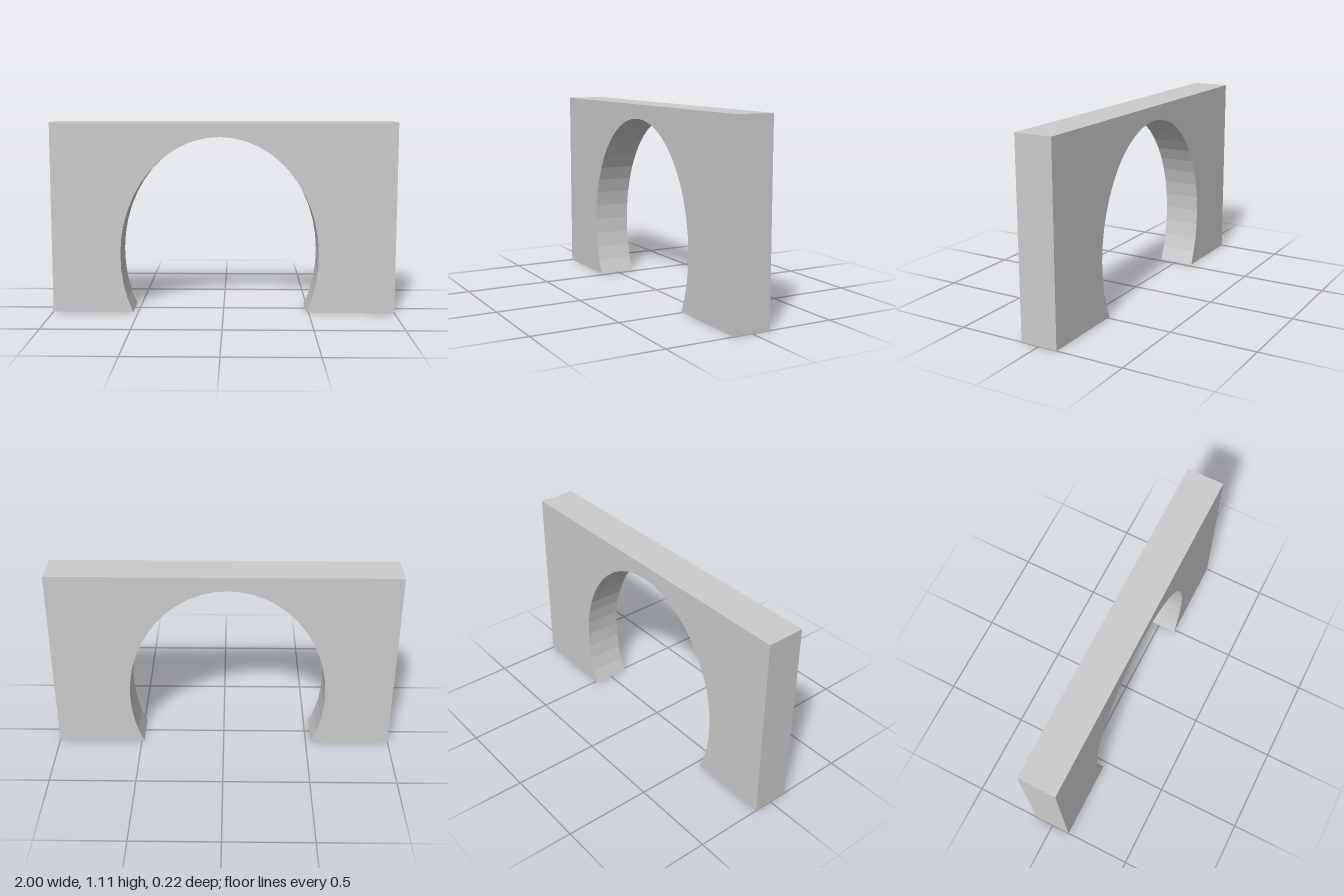
import * as THREE from 'three';

export function createModel() {
  const group = new THREE.Group();
  const height = 1.11, depth = 0.22;

  // Elliptical opening, cut off by the ground below its widest point
  const cx = -0.023, cy = 0.332, rx = 0.578, ry = 0.695, segments = 32;
  const dip = Math.asin(cy / ry);

  // Wall outline, counter-clockwise, running over the arch between the two feet
  const outline = [new THREE.Vector2(-1, 0)];
  for (let i = 0; i <= segments; i++) {
    const a = Math.PI + dip - (i / segments) * (Math.PI + 2 * dip);
    outline.push(new THREE.Vector2(cx + rx * Math.cos(a), Math.max(0, cy + ry * Math.sin(a))));
  }
  outline.push(new THREE.Vector2(1, 0), new THREE.Vector2(1, height), new THREE.Vector2(-1, height));

  const geometry = new THREE.ExtrudeGeometry(new THREE.Shape(outline), { depth, bevelEnabled: false });
  geometry.translate(0, 0, -depth / 2);

  const wall = new THREE.Mesh(geometry, new THREE.MeshStandardMaterial({ color: 0xcccccc, flatShading: true }));
  wall.name = 'archWall';
  group.add(wall);
  group.name = 'archway';
  return group;
}
